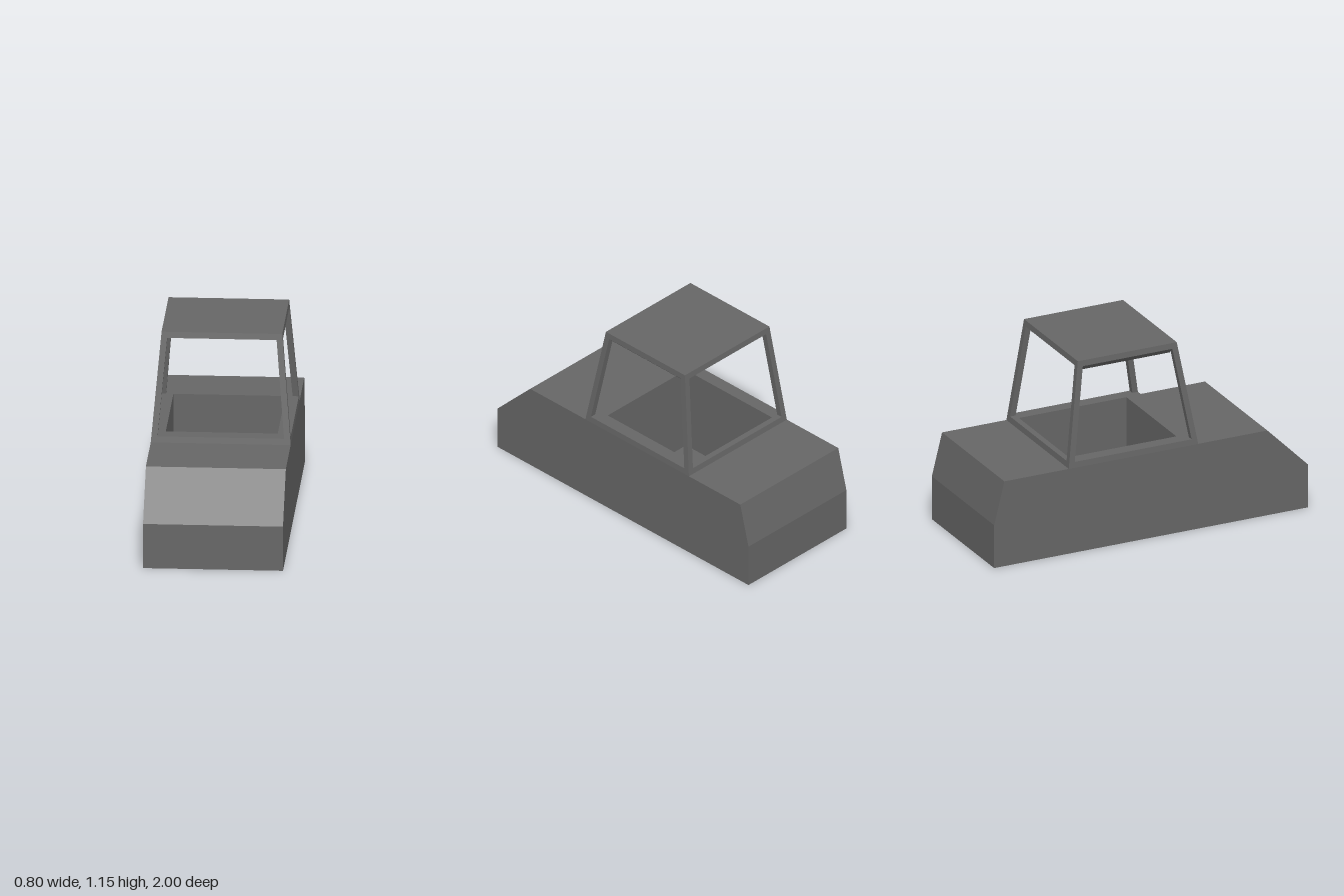
import * as THREE from 'three';

const paint = new THREE.MeshStandardMaterial({ color: 0x666666 });
paint.name = 'grey paint';

// Flat-shaded mesh from convex polygons (counter-clockwise corner lists)
function polyMesh(name, polys) {
  const pos = [];
  for (const p of polys)
    for (let i = 1; i < p.length - 1; i++) pos.push(...p[0], ...p[i], ...p[i + 1]);
  const g = new THREE.BufferGeometry();
  g.setAttribute('position', new THREE.Float32BufferAttribute(pos, 3));
  g.computeVertexNormals();
  const m = new THREE.Mesh(g, paint);
  m.name = name;
  return m;
}

// Horizontal rectangle, counter-clockwise seen from above
const rect = (x0, x1, zBack, zFront, y) =>
  [[x0, y, zFront], [x1, y, zFront], [x1, y, zBack], [x0, y, zBack]];

// Join successive rectangles, optionally closing the first and last
function loft(name, rings, capStart = true, capEnd = true) {
  const polys = [];
  for (let r = 0; r < rings.length - 1; r++) {
    const a = rings[r], b = rings[r + 1];
    for (let i = 0; i < 4; i++) {
      const j = (i + 1) % 4;
      polys.push([a[i], a[j], b[j], b[i]]);
    }
  }
  if (capStart) polys.push([...rings[0]].reverse());
  if (capEnd) polys.push(rings[rings.length - 1]);
  return polyMesh(name, polys);
}

// Tapering outline of the cabin at height y
const BASE = 0.525, SILL = 0.56, HEAD = 1.12, TOP = 1.155, D = 0.035;
function cabin(y) {
  const t = (y - BASE) / (TOP - BASE);
  return { x: 0.4 - 0.055 * t, f: 0.3 - 0.11 * t, b: -0.525 + 0.085 * t };
}
function cabinRect(y) {
  const c = cabin(y);
  return rect(-c.x, c.x, c.b, c.f, y);
}

export function createModel() {
  const model = new THREE.Group();
  model.name = 'car';

  // Lower body: side profile (z, y) swept across, left open under the cabin
  const W = 0.4;
  const profile = [[1, 0], [1, 0.265], [0.74, BASE], [0.3, BASE],
    [-0.525, BASE], [-0.935, BASE], [-1, 0.265], [-1, 0]];
  const side = (x) => profile.map(([z, y]) => [x, y, z]);
  const L = side(W), R = side(-W);
  const faces = [R, [...L].reverse()];
  for (let i = 0; i < profile.length; i++) {
    if (i === 3) continue;
    const j = (i + 1) % profile.length;
    faces.push([R[i], L[i], L[j], R[j]]);
  }
  model.add(polyMesh('body', faces));

  // Window sill running into the open interior
  model.add(loft('sillAndInterior', [
    cabinRect(BASE), cabinRect(SILL),
    rect(-0.32, 0.32, -0.485, 0.2, SILL),
    rect(-0.32, 0.32, -0.485, 0.2, 0.04),
  ], false, true));

  // Four leaning corner pillars
  for (const sx of [-1, 1]) {
    for (const end of ['f', 'b']) {
      const section = (y) => {
        const c = cabin(y);
        const xs = [sx * c.x, sx * (c.x - D)];
        const zs = [c[end], c[end] + (end === 'f' ? -D : D)];
        return rect(Math.min(...xs), Math.max(...xs), Math.min(...zs), Math.max(...zs), y);
      };
      const name = (end === 'f' ? 'front' : 'rear') + (sx > 0 ? 'Left' : 'Right') + 'Pillar';
      model.add(loft(name, [section(SILL), section(HEAD)], false, false));
    }
  }

  // Roof slab
  model.add(loft('roof', [cabinRect(HEAD), cabinRect(TOP)]));

  // Bevelled rails under the roof edges
  const h = cabin(HEAD);
  for (const s of [-1, 1]) {
    const inner = s * (h.x - D), outer = s * h.x;
    const lo = Math.min(inner, outer), hi = Math.max(inner, outer);
    model.add(loft(s > 0 ? 'leftRoofRail' : 'rightRoofRail', [
      rect(inner, inner, h.b + D, h.f - D, HEAD - 0.035),
      rect(lo, hi, h.b + D, h.f - D, HEAD),
    ], false, false));
    const zo = s > 0 ? h.f : h.b, zi = zo - s * D;
    model.add(loft(s > 0 ? 'frontRoofRail' : 'rearRoofRail', [
      rect(-h.x + D, h.x - D, zi, zi, HEAD - 0.01),
      rect(-h.x + D, h.x - D, Math.min(zo, zi), Math.max(zo, zi), HEAD),
    ], false, false));
  }
  return model;
}
